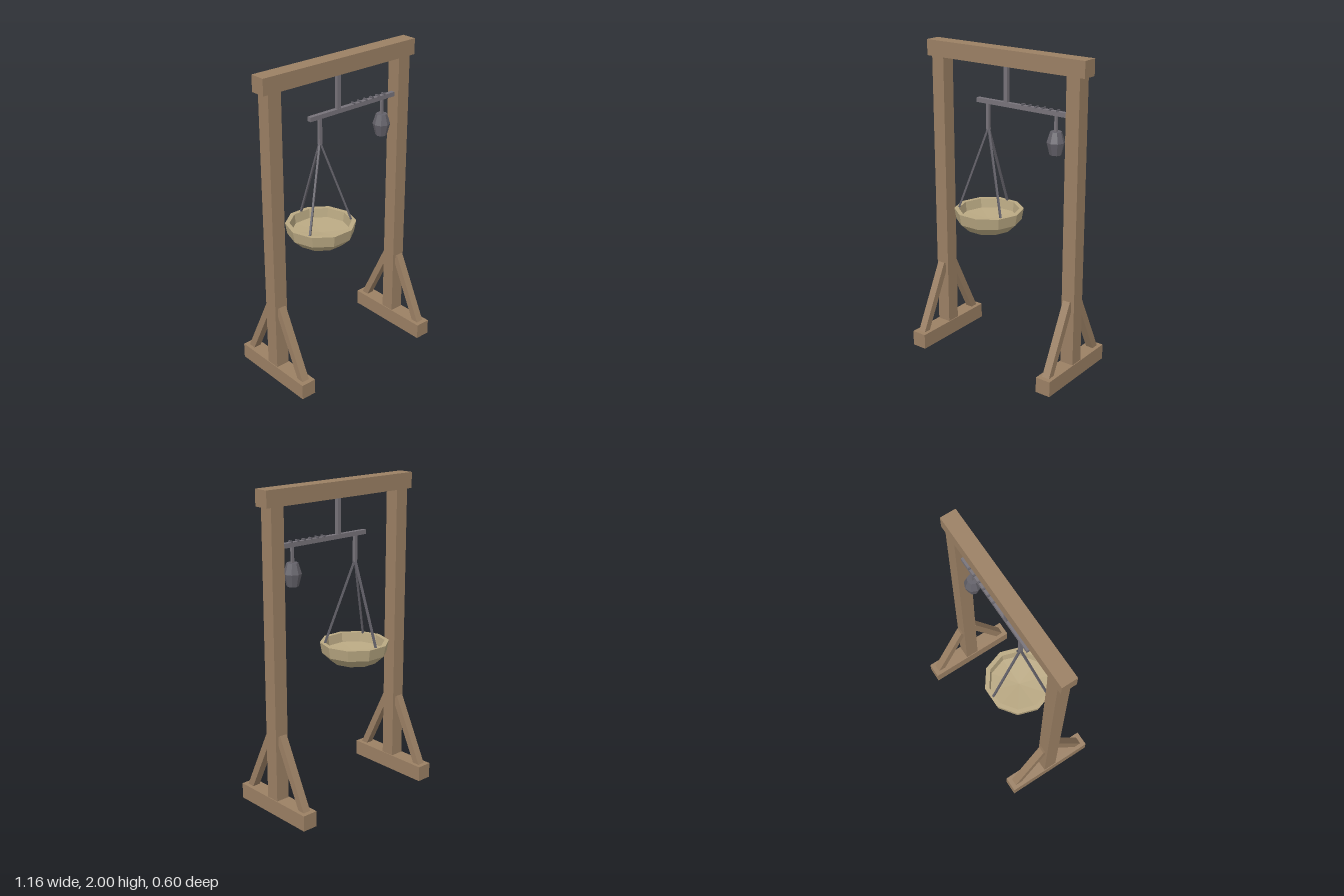
import * as THREE from 'three';

const mat = (name, color) => {
  const m = new THREE.MeshStandardMaterial({ color, flatShading: true });
  m.name = name;
  return m;
};

export function createModel() {
  const group = new THREE.Group();
  const wood = mat('wood', 0x9b8064);
  const pan = mat('pale pan', 0xbaa983);
  const iron = mat('iron', 0x77737a);
  const darkIron = mat('dark iron', 0x64626a);

  const add = (name, geometry, material, x = 0, y = 0, z = 0) => {
    const mesh = new THREE.Mesh(geometry, material);
    mesh.name = name;
    mesh.position.set(x, y, z);
    group.add(mesh);
    return mesh;
  };
  const box = (name, m, w, h, d, x, y, z = 0) =>
    add(name, new THREE.BoxGeometry(w, h, d), m, x, y, z);
  // Bar of rectangular section running between two points
  const bar = (name, m, w, t, a, b) => {
    const mesh = box(name, m, w, t, a.distanceTo(b), 0, 0);
    mesh.position.copy(a).lerp(b, 0.5);
    mesh.lookAt(b);
  };
  const lathe = (name, m, profile, sides, phi, x) =>
    add(name, new THREE.LatheGeometry(profile.map(([r, y]) => new THREE.Vector2(r, y)), sides, phi), m, x);
  const v = (x, y, z) => new THREE.Vector3(x, y, z);

  // Wooden frame
  box('topBeam', wood, 1.16, 0.1, 0.1, 0, 1.95);
  for (const side of [-1, 1]) {
    const x = side * 0.5;
    box('foot', wood, 0.1, 0.1, 0.6, x, 0.05);
    box('post', wood, 0.09, 1.81, 0.09, x, 0.995);
    for (const s of [-1, 1])
      bar('brace', wood, 0.05, 0.045, v(x, 0.07, s * 0.26), v(x, 0.52, s * 0.04));
  }

  // Balance arm with its notches and hangers
  box('beamHanger', iron, 0.025, 0.24, 0.025, 0, 1.79);
  box('balanceArm', iron, 0.7, 0.028, 0.028, 0.13, 1.663);
  for (let i = 0; i < 6; i++)
    box('notch', darkIron, 0.01, 0.012, 0.03, 0.122 + i * 0.05, 1.68);
  box('panHanger', iron, 0.02, 0.17, 0.02, -0.14, 1.57);
  box('weightHanger', iron, 0.016, 0.11, 0.016, 0.36, 1.6);

  // Eight-sided counterweight
  lathe('counterweight', darkIron,
    [[0, 1.415], [0.036, 1.415], [0.055, 1.49], [0.035, 1.555], [0, 1.555]], 8, 0, 0.36);

  // Ten-sided hollow pan
  lathe('pan', pan,
    [[0, 0.845], [0.148, 0.845], [0.207, 0.9], [0.22, 0.972], [0.192, 0.972], [0.184, 0.912], [0, 0.898]],
    10, Math.PI / 10, -0.14);

  // Three rods holding the pan
  for (let i = 0; i < 3; i++) {
    const a = Math.PI + i * Math.PI * 2 / 3;
    bar('panRod', darkIron, 0.012, 0.012, v(-0.14, 1.5, 0),
      v(-0.14 + 0.194 * Math.sin(a), 0.963, 0.194 * Math.cos(a)));
  }
  return group;
}
